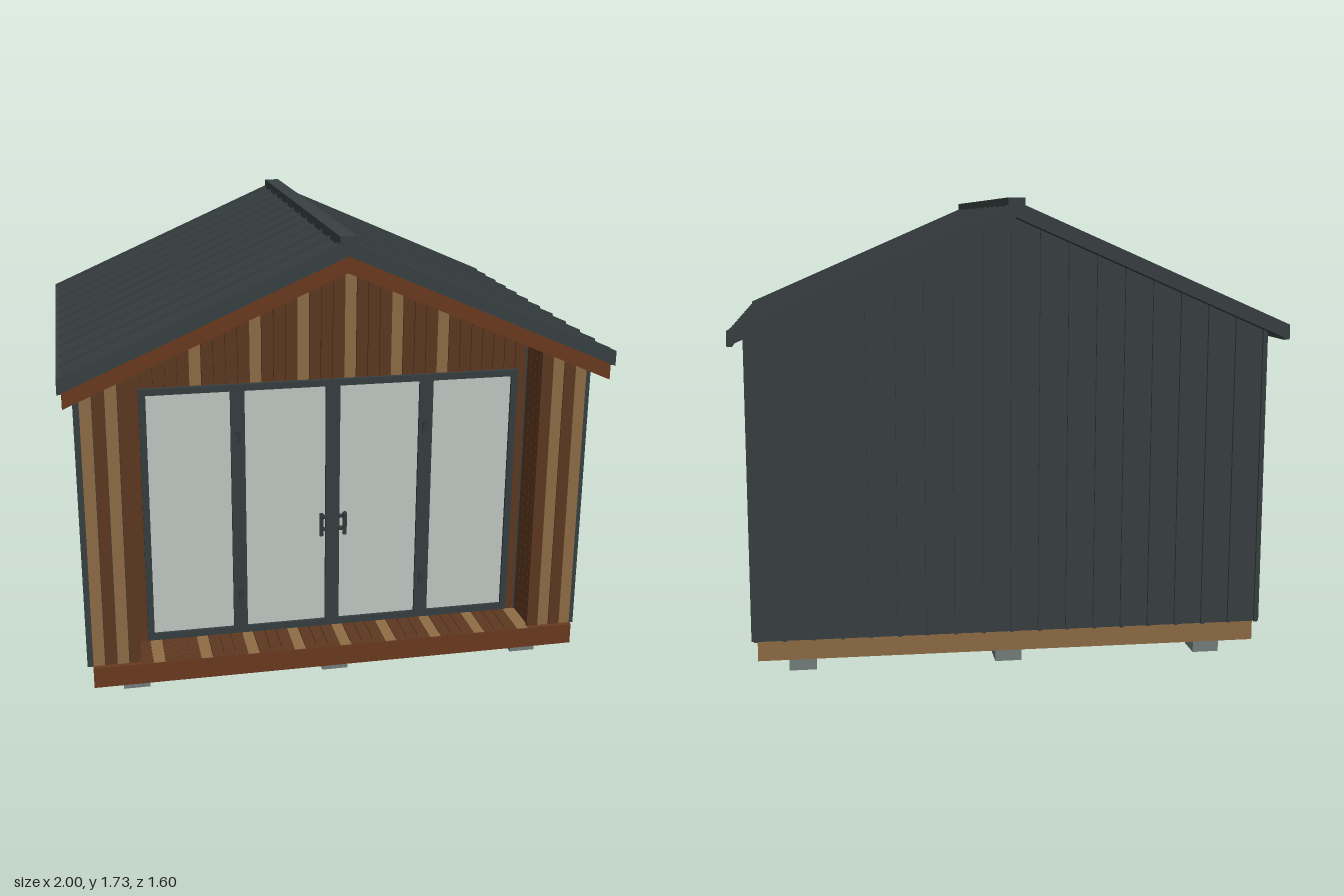
import * as THREE from 'three';

const mat = (name, color, side = THREE.FrontSide) => {
  const m = new THREE.MeshStandardMaterial({ color, side });
  m.name = name;
  return m;
};

export function createModel() {
  const cladding = mat('dark metal cladding', 0x394142);
  const tan = mat('light timber', 0x8f6d45);
  const brown = mat('dark timber', 0x5e3820);
  const red = mat('fascia timber', 0x6b3b20);
  const glass = mat('pale glass', 0xc2cbc5);
  const frame = mat('door frame', 0x363e41);
  const concrete = mat('concrete', 0x777f7f);
  const metal = mat('handle metal', 0x33393b);

  const model = new THREE.Group();
  model.name = 'gardenRoom';
  const group = (name) => {
    const g = new THREE.Group();
    g.name = name;
    model.add(g);
    return g;
  };
  const add = (parent, name, geo, m) => {
    const mesh = new THREE.Mesh(geo, m);
    mesh.name = name;
    parent.add(mesh);
    return mesh;
  };
  // Box given by its limits on each axis
  const box = (parent, name, m, x0, x1, y0, y1, z0, z1) => {
    const geo = new THREE.BoxGeometry(x1 - x0, y1 - y0, z1 - z0);
    geo.translate((x0 + x1) / 2, (y0 + y1) / 2, (z0 + z1) / 2);
    return add(parent, name, geo, m);
  };
  // Outline in the x-y plane, extruded from z0 to z1
  const prism = (parent, name, m, pts, z0, z1) => {
    const shape = new THREE.Shape(pts.map(([x, y]) => new THREE.Vector2(x, y)));
    const geo = new THREE.ExtrudeGeometry(shape, { depth: z1 - z0, bevelEnabled: false });
    geo.translate(0, 0, z0);
    return add(parent, name, geo, m);
  };

  // Roof lines: top and underside heights at x
  const slope = 0.437;
  const top = (x) => 1.705 - slope * Math.abs(x);
  const under = (x) => 1.66 - slope * Math.abs(x);
  // Upright strip cut to the roof line
  const strip = (parent, name, m, x0, x1, y0, z0, z1) =>
    prism(parent, name, m, [[x0, y0], [x1, y0], [x1, under(x1)], [x0, under(x0)]], z0, z1);
  // Inverted V band following the roof, between two height offsets
  const band = (parent, name, m, half, lo, hi, z0, z1) =>
    prism(parent, name, m, [
      [-half, top(half) + lo], [0, top(0) + lo], [half, top(half) + lo],
      [half, top(half) + hi], [0, top(0) + hi], [-half, top(half) + hi],
    ], z0, z1);

  // Foundation and floor
  const base = group('base');
  for (const x of [-0.77, 0, 0.77])
    for (const z of [-0.585, 0.585])
      box(base, 'footing', concrete, x - 0.05, x + 0.05, 0, 0.066, z - 0.05, z + 0.05);
  box(base, 'floorFrame', tan, -0.93, 0.93, 0.065, 0.143, -0.7, 0.7);
  box(base, 'frontFascia', red, -0.93, 0.93, 0.07, 0.15, 0.7, 0.73);

  // Walls: closed body with a porch cheek on each side
  const walls = group('walls');
  const W = 0.94, back = -0.712, wallZ = 0.54, porchZ = 0.7;
  prism(walls, 'wallBody', cladding,
    [[-W, 0.142], [W, 0.142], [W, under(W)], [0, under(0)], [-W, under(W)]], back, wallZ);
  for (const s of [-1, 1]) {
    const [a, b] = s < 0 ? [-W, -0.775] : [0.775, W];
    strip(walls, 'porchCheek', cladding, a, b, 0.142, wallZ, porchZ);
    // Standing seams on the side walls
    for (let i = 0; i < 14; i++) {
      const z = -0.705 + i * 0.1075;
      box(walls, 'sideSeam', cladding, s > 0 ? W : -W - 0.011, s > 0 ? W + 0.011 : -W,
        0.142, under(W), z - 0.006, z + 0.006);
    }
  }
  // Standing seams on the back wall
  for (let i = 0; i <= 18; i++) {
    const x = -0.936 + i * 0.104;
    strip(walls, 'backSeam', cladding, x - 0.006, x + 0.006, 0.142, back - 0.011, back);
  }

  // Vertical timber boards on the front, and deck boards in line with them
  const boards = group('frontBoards');
  const deck = group('deck');
  const light = new Set([0, 2, 9, 14, 18, 22, 26, 30, 39, 41]);
  const pitch = 1.86 / 42;
  for (let i = 0; i < 42; i++) {
    const x0 = -0.93 + i * pitch + 0.001, x1 = x0 + pitch - 0.002;
    const m = light.has(i) ? tan : brown;
    if (i < 4 || i > 37) strip(boards, 'cheekBoard', m, x0, x1, 0.145, porchZ, porchZ + 0.012);
    else {
      const beside = i === 4 || i === 37;
      strip(boards, 'gableBoard', m, x0, x1, beside ? 0.145 : 1.14, wallZ, wallZ + 0.012);
      box(deck, 'deckBoard', i % 4 === 1 ? tan : brown, x0, x1, 0.14, 0.151, wallZ, 0.728);
    }
  }
  // Boards lining the porch cheeks
  for (const s of [-1, 1])
    for (let i = 0; i < 4; i++) {
      const z = wallZ + i * 0.043;
      const a = s * 0.775, b = s * 0.763;
      box(boards, 'revealBoard', brown, Math.min(a, b), Math.max(a, b),
        0.145, under(0.775), z + 0.001, z + 0.042);
    }

  // Four glazed door leaves
  const doors = group('doors');
  const dz = wallZ + 0.012;
  box(doors, 'frameTop', frame, -0.717, 0.717, 1.135, 1.16, wallZ, dz + 0.016);
  box(doors, 'frameBottom', frame, -0.717, 0.717, 0.158, 0.185, wallZ, dz + 0.016);
  for (const [a, b] of [[-0.717, -0.692], [-0.385, -0.332], [-0.027, 0.027], [0.332, 0.385], [0.692, 0.717]])
    box(doors, 'frameStile', frame, a, b, 0.185, 1.135, wallZ, dz + 0.016);
  for (const x of [-0.5385, -0.1795, 0.1795, 0.5385])
    box(doors, 'glassPane', glass, x - 0.154, x + 0.154, 0.185, 1.135, dz - 0.003, dz + 0.005);
  for (const s of [-1, 1]) {
    box(doors, 'handle', metal, s * 0.045 - 0.007, s * 0.045 + 0.007, 0.545, 0.635, dz + 0.02, dz + 0.035);
    for (const y of [0.565, 0.615])
      box(doors, 'handlePost', metal, s * 0.035 - 0.012, s * 0.035 + 0.012, y - 0.005, y + 0.005, dz, dz + 0.022);
    for (const y of [0.33, 0.96])
      box(doors, 'hinge', metal, s * 0.355 - 0.008, s * 0.355 + 0.008, y - 0.022, y + 0.022, dz, dz + 0.024);
  }

  // Roof sheet, verge trims, seams, ridge cap
  const roof = group('roof');
  band(roof, 'roofSheet', cladding, 0.985, -0.045, 0, -0.785, 0.785);
  band(roof, 'frontVerge', cladding, 1, -0.045, 0.01, 0.78, 0.8);
  band(roof, 'backVerge', cladding, 1, -0.045, 0.01, -0.8, -0.785);
  box(roof, 'ridgeCap', cladding, -0.03, 0.03, 1.685, 1.728, -0.8, 0.8);
  for (let i = 0; i < 12; i++) {
    const z = -0.775 + i * 0.14;
    band(roof, 'roofSeam', cladding, 0.99, -0.005, 0.011, z - 0.006, z + 0.006);
  }
  for (const s of [-1, 1]) {
    const [a, b] = s < 0 ? [-1, -0.982] : [0.982, 1];
    box(roof, 'eaveTrim', cladding, a, b, 1.222, 1.27, -0.785, 0.785);
  }

  // Timber soffit and bargeboard over the porch
  band(roof, 'porchSoffit', red, 0.98, -0.065, -0.044, 0.555, 0.775);
  band(roof, 'bargeboard', red, 0.985, -0.105, -0.044, 0.77, 0.792);

  return model;
}
